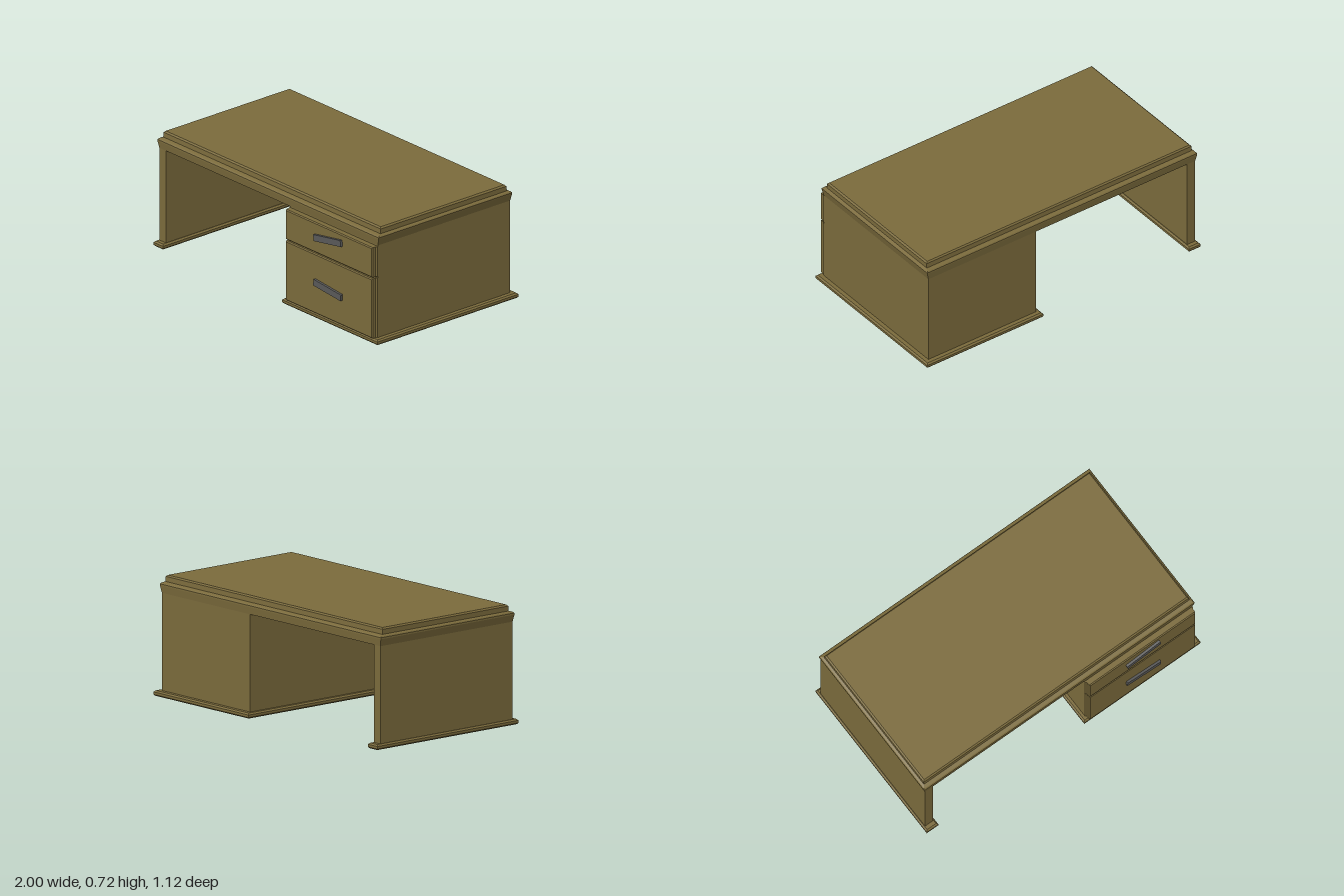
import * as THREE from 'three';

const wood = new THREE.MeshStandardMaterial({ color: 0x7b6b3c, flatShading: true });
const metal = new THREE.MeshStandardMaterial({ color: 0x5a5a5a, flatShading: true });

// Stack of rectangles [y, x0, x1, z0, z1] joined by flat sides and capped at both ends
function loft(rings) {
  const pos = [];
  const loops = rings.map(([y, x0, x1, z0, z1]) =>
    [[x0, y, z1], [x1, y, z1], [x1, y, z0], [x0, y, z0]]);
  const quad = (a, b, c, d) => pos.push(...a, ...b, ...c, ...a, ...c, ...d);
  for (let i = 0; i < loops.length - 1; i++) {
    const lo = loops[i], hi = loops[i + 1];
    for (let k = 0; k < 4; k++) {
      const n = (k + 1) % 4;
      quad(lo[k], lo[n], hi[n], hi[k]);
    }
  }
  const [a, b, c, d] = loops[0];
  quad(d, c, b, a);
  quad(...loops[loops.length - 1]);
  const geo = new THREE.BufferGeometry();
  geo.setAttribute('position', new THREE.Float32BufferAttribute(pos, 3));
  geo.computeVertexNormals();
  return geo;
}

export function createModel() {
  const desk = new THREE.Group();
  desk.name = 'desk';
  const add = (name, geo, mat = wood) => {
    const mesh = new THREE.Mesh(geo, mat);
    mesh.name = name;
    desk.add(mesh);
    return mesh;
  };

  // Desktop: flared apron, stepped moulding and chamfered upper slab
  add('desktop', loft([
    [0.622, -0.987, 0.965, -0.525, 0.505],
    [0.665, -0.997, 0.976, -0.53, 0.511],
    [0.675, -0.997, 0.978, -0.53, 0.511],
    [0.682, -0.992, 0.972, -0.524, 0.504],
    [0.688, -0.978, 0.96, -0.502, 0.482],
    [0.718, -0.978, 0.96, -0.5, 0.48],
    [0.727, -0.968, 0.95, -0.492, 0.471],
  ]));

  // Supports: drawer pedestal and side panel
  const support = (name, x0, x1) => add(name, loft([
    [0.03, x0, x1, -0.525, 0.505],
    [0.622, x0, x1, -0.525, 0.505],
  ]));
  support('pedestal', 0.177, 0.965);
  support('sidePanel', -0.987, -0.928);

  // Bevelled plinths under the supports
  const plinth = (name, x0, x1) => {
    const ring = (y, i) => [y, x0 + i, x1 - i, -0.56 + i, 0.54 - i];
    add(name, loft([ring(0.003, 0.007), ring(0.011, 0), ring(0.026, 0), ring(0.035, 0.01)]));
  };
  plinth('pedestalPlinth', 0.15, 1.0);
  plinth('sidePanelPlinth', -1.0, -0.915);

  // Drawer fronts with stepped sides, lofted forwards, each with a slanted handle
  const drawer = (name, y0, y1, handleY, tilt) => {
    const h = (y1 - y0) / 2;
    const ring = (z, x0, x1, i = 0) => [z, x0, x1, -h + i, h - i];
    const front = add(name + 'Drawer', loft([
      ring(0.5, 0.177, 0.965),
      ring(0.51, 0.177, 0.965),
      ring(0.518, 0.185, 0.959),
      ring(0.539, 0.185, 0.959),
      ring(0.546, 0.192, 0.953, 0.006),
    ]));
    front.rotation.x = Math.PI / 2;
    front.position.y = (y0 + y1) / 2;
    const handle = add(name + 'Handle', new THREE.BoxGeometry(0.245, 0.04, 0.02), metal);
    handle.position.set(0.573, handleY, 0.551);
    handle.rotation.z = THREE.MathUtils.degToRad(tilt);
  };
  drawer('lower', 0.036, 0.416, 0.227, -5.5);
  drawer('upper', 0.424, 0.615, 0.542, 9);

  return desk;
}
